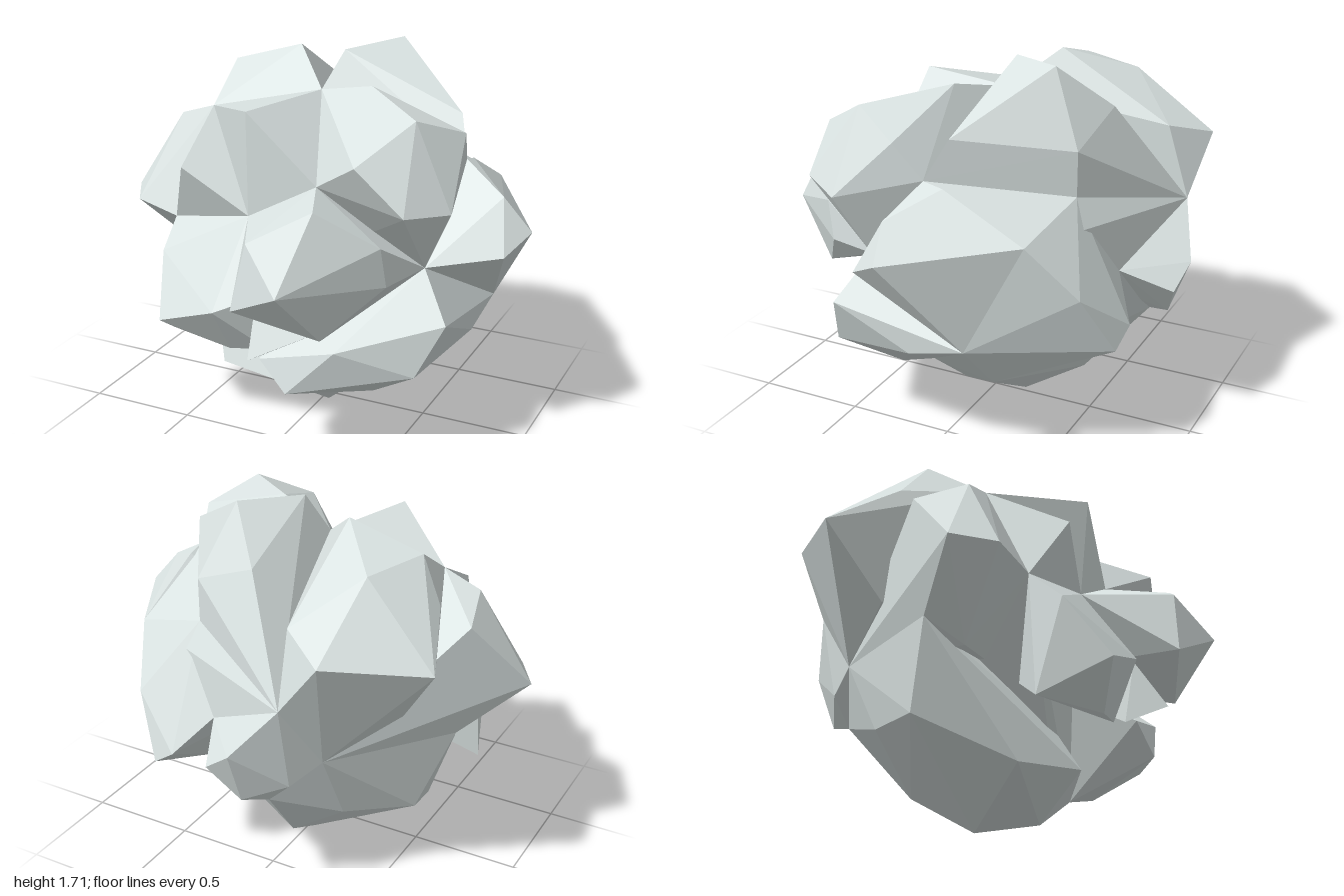
import * as THREE from 'three';
import { ConvexGeometry } from 'three/addons/geometries/ConvexGeometry.js';

const stone = new THREE.MeshStandardMaterial({ color: 0xdae3e2 });
stone.name = 'pale grey stone';

// Points where neighbouring lumps meet
const heart = [0, 0.75, 0];
const crown = [-0.05, 1.51, -0.04];
const frontPit = [-0.2, 1.02, 0.4];
const rightPit = [0.605, 0.88, 0.305];
const sidePit = [0.75, 0.58, -0.22];
const underPit = [0.47, 0.3, -0.22];
const backPit = [-0.25, 1.04, -0.84];
const knobPit = [0.17, 0.82, -0.685];
const eave = [0.32, 1.19, -0.54];
const shoulder = [0.67, 1.29, 0];
const saddle = [0.155, 1.22, 0.44];
const ridge = [0.68, 1.08, -0.465];
const leftPit = [-0.65, 0.91, 0.28];
const brow = [-0.56, 1.4, 0.06];
const keel = [0.2, 0.18, 0.23];
const hip = [-0.74, 0.73, -0.15];
const backHollow = [-0.35, 0.73, -0.65];
const backFoot = [-0.13, 0.52, -0.73];

// Each lump is a faceted convex boulder grown out of the heart of the rock
const lumps = {
  core: [
    frontPit, rightPit, sidePit, underPit, keel, leftPit, backHollow, [0.1, 0.8, -0.62],
    [0, 1.25, -0.1], [0.4, 1.1, -0.2], [-0.4, 1.1, -0.3], [0, 0.3, 0.2],
  ],
  upperFrontLump: [
    crown, [0.25, 1.585, 0.075], [0.57, 1.54, 0.36], [0.705, 1.445, 0.125], [0.41, 1.39, 0.62],
    [0.62, 1.2, 0.6], [0.75, 1.175, 0.4], saddle, rightPit, shoulder, heart,
  ],
  noseLump: [
    [0.21, 0.905, 0.935], [0.28, 1.22, 0.73], [0.515, 1.05, 0.58], [0.53, 0.87, 0.55],
    [0.305, 0.65, 0.72], [-0.07, 0.75, 0.81], [0, 1.06, 0.79], saddle, frontPit, rightPit, heart,
  ],
  chinLump: [
    [-0.03, 0.5, 0.74], [0.3, 0.64, 0.52], [-0.06, 0.72, 0.6], [-0.05, 0.44, 0.55], heart,
  ],
  lowerFrontLump: [
    frontPit, leftPit, [-0.64, 0.79, 0.42], [-0.555, 0.53, 0.61], [-0.67, 0.345, 0.31],
    [-0.255, 0.64, 0.65], [-0.255, 0.405, 0.5], [-0.06, 0.44, 0.5], [-0.06, 0.73, 0.6], heart,
  ],
  browLump: [crown, brow, [-0.18, 1.51, 0.44], frontPit, saddle, heart],
  cheekLump: [brow, [-0.52, 1.21, 0.43], frontPit, leftPit, heart],
  sideLump: [
    [-1, 0.95, 0.04], [-0.89, 0.94, 0.225], [-0.74, 1.34, 0.04], [-0.8, 1.27, -0.19],
    hip, [-0.64, 0.62, 0], leftPit, brow, backHollow, heart,
  ],
  backLump: [
    [-0.82, 1.23, -0.59], [-0.45, 1.3, -0.88], [-0.47, 1.55, -0.5], [-0.7, 1.39, -0.29],
    [-0.58, 1.565, -0.21], [-0.24, 1.665, -0.22], [-0.24, 1.37, -0.74], backPit, crown, brow,
    backHollow, [-0.6, 0.9, -0.4], heart,
  ],
  topLump: [
    crown, [0.03, 1.685, -0.12], [0.21, 1.71, -0.385], [0.61, 1.465, -0.09], shoulder,
    [0.02, 1.51, -0.58], [0.32, 1.39, -0.54], eave, backPit, heart,
  ],
  backWall: [eave, backPit, knobPit, ridge, shoulder, heart],
  rightLump: [
    [0.995, 1.02, 0.055], [0.92, 0.94, 0.2], [0.87, 1.17, 0.08], rightPit, sidePit, ridge,
    shoulder, [0.67, 1.27, -0.09], heart,
  ],
  backRightLump: [
    ridge, sidePit, underPit, [0.57, 0.84, -0.67], [0.43, 0.57, -0.78], [0.32, 0.65, -0.8],
    eave, knobPit, heart,
  ],
  backKnob: [
    [-0.06, 0.82, -0.935], [0.07, 0.72, -0.905], [-0.15, 0.9, -0.88], knobPit,
    [-0.06, 0.56, -0.84], [-0.25, 0.64, -0.76], backPit, backFoot, backHollow, heart,
  ],
  baseLump: [
    [0.75, 0.68, 0.42], [0.74, 0.51, 0.05], [0.635, 0.44, 0.48], [0.32, 0.55, 0.62],
    [0.1, 0.32, 0.645], [0.37, 0.235, 0.3], keel, rightPit, sidePit,
    [-0.05, 0.44, 0.6], heart,
  ],
  footLump: [
    [-0.05, 0.45, 0.22], [-0.11, 0.215, 0.36], [-0.475, 0.145, 0.18], [-0.56, 0.36, 0.05],
    [0.065, 0.04, 0.125], [-0.03, 0, -0.15], keel, [-0.6, 0.36, -0.25], hip,
    [-0.075, 0.17, -0.435], [-0.37, 0.4, -0.5], backHollow, heart,
  ],
  backBaseLump: [
    [0.065, 0.04, 0.125], [-0.03, 0, -0.15], keel, underPit, [-0.075, 0.17, -0.435],
    [-0.37, 0.4, -0.5], backHollow, backFoot, knobPit, heart,
  ],
};

export function createModel() {
  const rock = new THREE.Group();
  rock.name = 'rock';
  for (const [name, points] of Object.entries(lumps)) {
    const geometry = new ConvexGeometry(points.map((p) => new THREE.Vector3(...p)));
    const mesh = new THREE.Mesh(geometry, stone);
    mesh.name = name;
    rock.add(mesh);
  }
  return rock;
}
